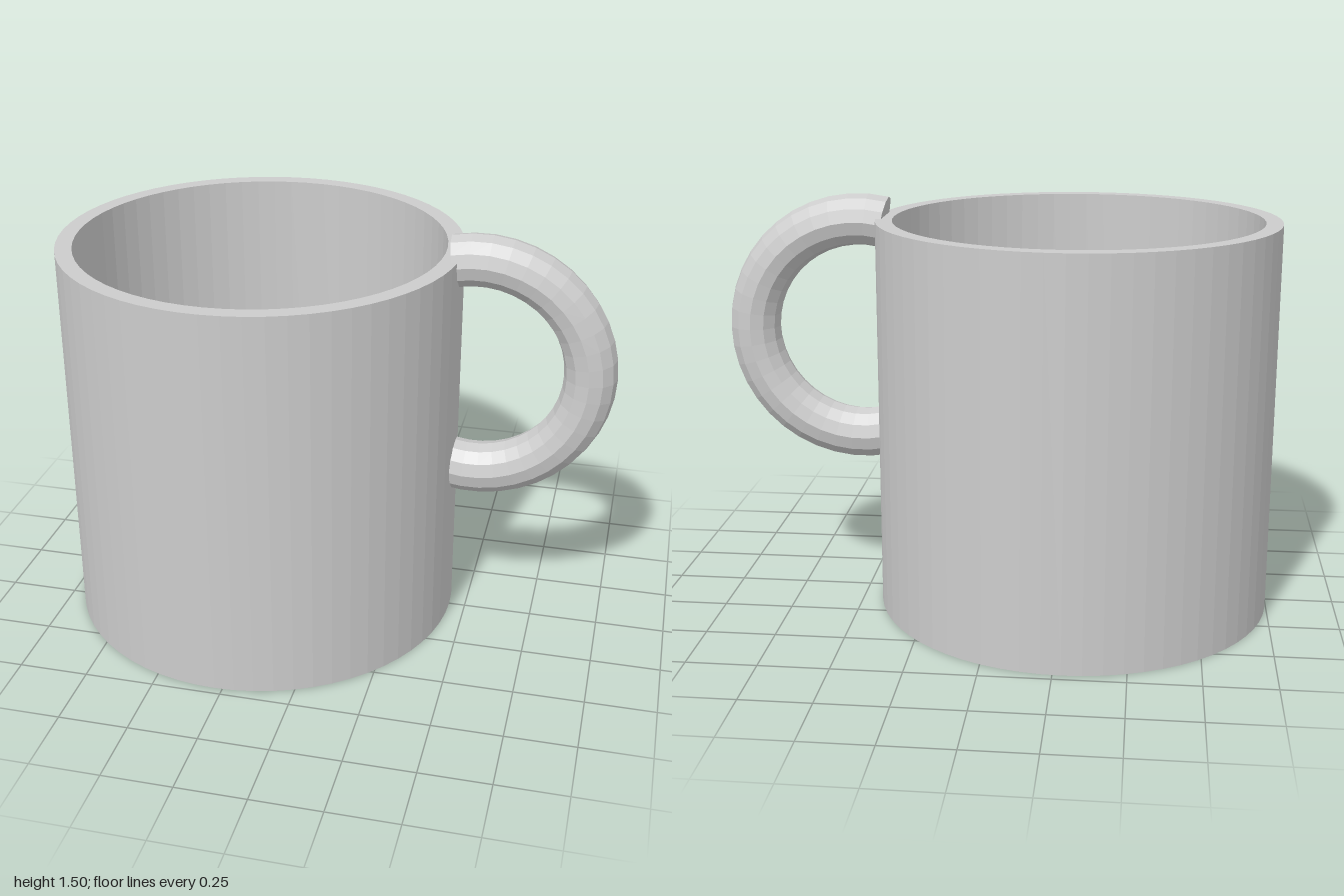
import * as THREE from 'three';
import { mergeGeometries } from 'three/addons/utils/BufferGeometryUtils.js';

const BODY_X = -0.28, OUTER = 0.72, INNER = 0.66, HEIGHT = 1.425, FLOOR = 0.06;
const RING = 0.4, TUBE = 0.093, HALF_ARC = THREE.MathUtils.degToRad(102.5);

// Hollow cup: one closed profile from the underside, over the rim, to the inner floor
function cupGeometry() {
  const profile = [
    [0, 0], [OUTER, 0], [OUTER, HEIGHT], [INNER, HEIGHT], [INNER, FLOOR], [0, FLOOR],
  ].map(([r, y]) => new THREE.Vector2(r, y));
  return new THREE.LatheGeometry(profile, 64);
}

// C-shaped ring section with a flat cap on both ends
function handleGeometry() {
  const ring = new THREE.TorusGeometry(RING, TUBE, 12, 24, HALF_ARC * 2).rotateZ(-HALF_ARC);
  const caps = [-1, 1].map((side) =>
    new THREE.CircleGeometry(TUBE, 12)
      .rotateX(-side * Math.PI / 2)
      .translate(RING, 0, 0)
      .rotateZ(side * HALF_ARC));
  return mergeGeometries([ring, ...caps]);
}

export function createModel() {
  const grey = new THREE.MeshStandardMaterial({ color: 0xcccccc, flatShading: true });
  grey.name = 'light grey';

  const model = new THREE.Group();
  model.name = 'mug';

  const cup = new THREE.Mesh(cupGeometry(), grey);
  cup.name = 'cup';
  cup.position.x = BODY_X;

  const handle = new THREE.Mesh(handleGeometry(), grey);
  handle.name = 'handle';
  handle.position.set(0.506, 1.012, 0);

  model.add(cup, handle);
  return model;
}
